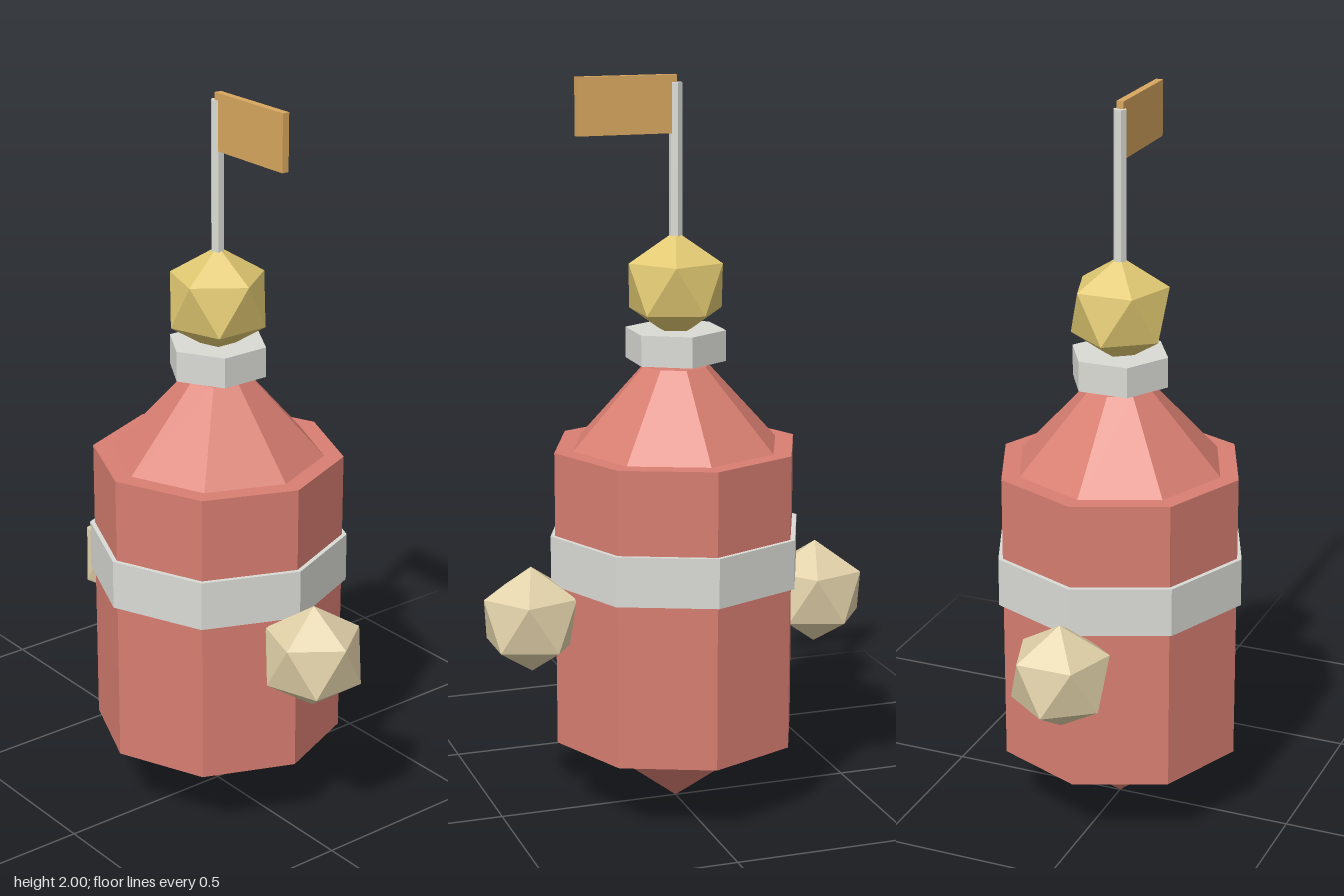
import * as THREE from 'three';

const mat = (name, color) => {
  const m = new THREE.MeshStandardMaterial({ color, flatShading: true });
  m.name = name;
  return m;
};

// Icosahedron standing on one corner, with an upper-ring corner pointing to +x
function gemGeometry(r) {
  const g = new THREE.IcosahedronGeometry(r, 0);
  const t = (1 + Math.sqrt(5)) / 2;
  const up = new THREE.Vector3(0, 1, t).normalize();
  const side = new THREE.Vector3(0, -1, t).normalize();
  side.addScaledVector(up, -side.dot(up)).normalize();
  const depth = new THREE.Vector3().crossVectors(side, up);
  const basis = new THREE.Matrix4().makeBasis(side, up, depth);
  return g.applyMatrix4(basis.transpose());
}

export function createModel() {
  const model = new THREE.Group();
  model.name = 'floatingBuoy';

  const red = mat('red paint', 0xd87e71);
  const metal = mat('pale metal', 0xdadad5);
  const gold = mat('gold', 0xe0c871);
  const tan = mat('tan', 0xe0d0a8);
  const orange = mat('orange cloth', 0xd8a75f);

  const add = (name, geometry, material, x, y) => {
    const mesh = new THREE.Mesh(geometry, material);
    mesh.name = name;
    mesh.position.set(x, y, 0);
    model.add(mesh);
  };
  // Prism or cone between two heights
  const drum = (name, rTop, rBottom, y0, y1, sides, material) =>
    add(name, new THREE.CylinderGeometry(rTop, rBottom, y1 - y0, sides), material, 0, (y0 + y1) / 2);

  // Hull
  drum('keelCone', 0.26, 0, 0.005, 0.2, 8, red);
  drum('body', 0.34, 0.34, 0.2, 1.013, 8, red);
  drum('shoulder', 0.09, 0.288, 1.013, 1.23, 8, red);
  drum('bodyBand', 0.353, 0.353, 0.65, 0.785, 8, metal);

  // Collar, lamp and mast
  drum('collar', 0.137, 0.137, 1.245, 1.328, 6, metal);
  add('lamp', gemGeometry(0.146), gold, 0, 1.444);
  drum('mast', 0.018, 0.018, 1.5, 1.98, 6, metal);
  add('flag', new THREE.BoxGeometry(0.272, 0.152, 0.02), orange, 0.136, 1.924);

  // Side floats
  for (const [name, s] of [['leftFloat', 1], ['rightFloat', -1]])
    add(name, gemGeometry(0.146), tan, s * 0.409, 0.56);

  return model;
}
